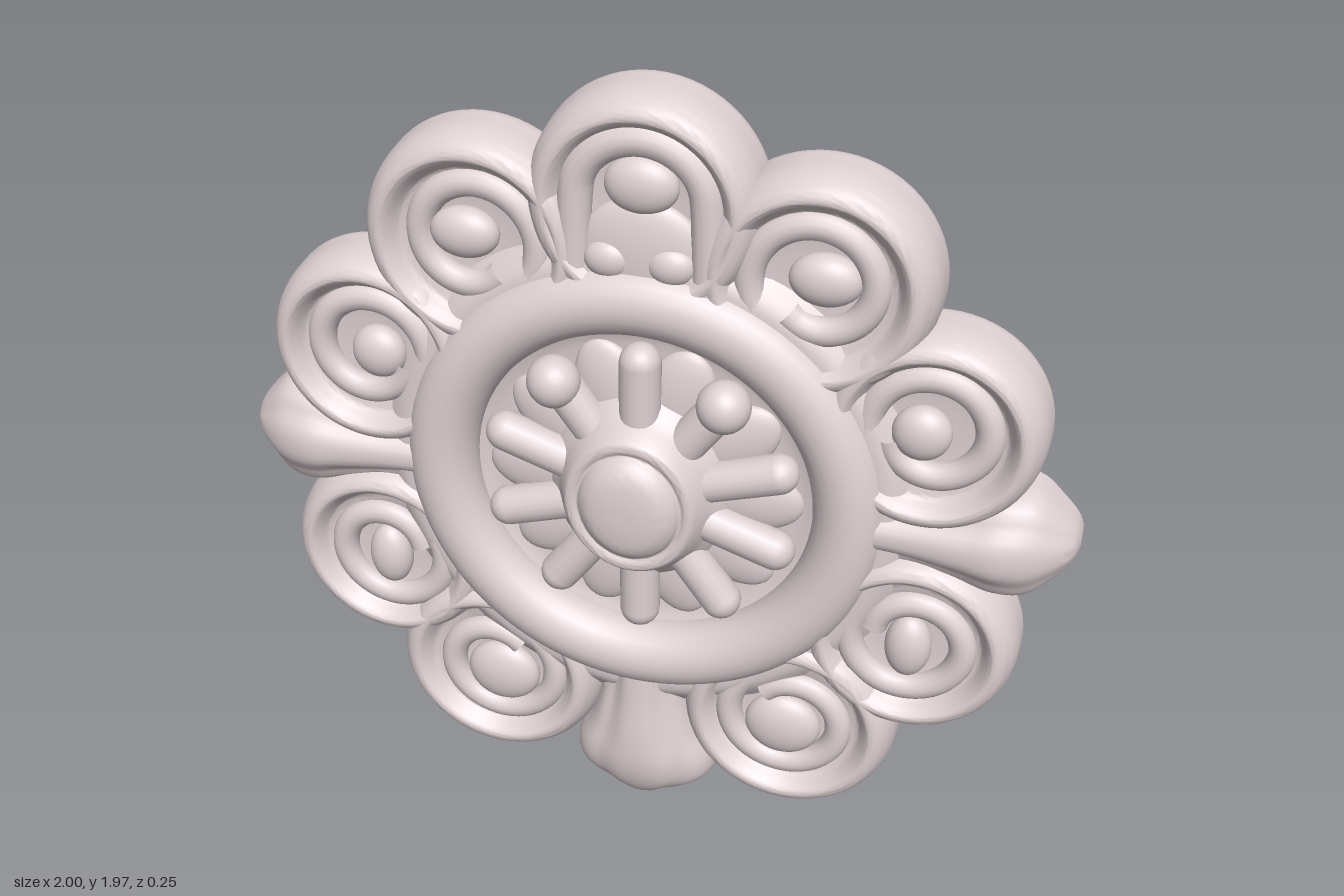
import * as THREE from 'three';
import { toCreasedNormals } from 'three/addons/utils/BufferGeometryUtils.js';

const BACK = -0.13;
const V2 = (p) => new THREE.Vector2(p[0], p[1]);

export function createModel() {
  const model = new THREE.Group();
  model.name = 'rosette';
  const mat = new THREE.MeshStandardMaterial({ color: 0xdfd1d3 });

  const add = (parent, name, geo, x = 0, y = 0, z = 0) => {
    const m = new THREE.Mesh(geo, mat);
    m.name = name;
    m.position.set(x, y, z);
    parent.add(m);
    return m;
  };
  const group = (name, x, y) => {
    const g = new THREE.Group();
    g.name = name;
    g.position.set(x, y, 0);
    model.add(g);
    return g;
  };
  // Turned relief facing +z, from (radius, z) points, smoothed by a curve
  const turned = (pts, seg = 64) => {
    const curve = new THREE.CatmullRomCurve3(pts.map((p) => new THREE.Vector3(p[0], p[1], 0)), false, 'centripetal');
    const fine = curve.getPoints(pts.length * 4).map((p) => V2([Math.max(p.x, 0), Math.max(p.y, BACK)]));
    return toCreasedNormals(new THREE.LatheGeometry([V2([0, BACK]), ...fine], seg).rotateX(Math.PI / 2), 0.9);
  };
  const ball = (sx, sy, sz) => new THREE.SphereGeometry(1, 28, 18).scale(sx, sy, sz);
  const tube = (pts, r) => {
    const c = new THREE.CatmullRomCurve3(pts.map((p) => new THREE.Vector3(p[0], p[1], 0)));
    return new THREE.TubeGeometry(c, 60, r, 14);
  };

  // Backing plate, swelling under the wheel ring
  add(model, 'backPlate', turned([[0.66, BACK], [0.67, -0.1], [0.66, -0.05], [0.63, -0.02], [0.58, 0.012],
    [0.48, 0.0], [0.4, -0.035], [0.36, -0.045], [0, -0.045]], 96), 0, 1);

  // Scalloped lobes: soft raised rim around a hollow
  const lobe = (R) => turned([
    [0.97 * R, BACK], [R, -0.115], [R, -0.08], [0.985 * R, -0.035], [0.94 * R, 0.0], [0.87 * R, 0.024],
    [0.79 * R, 0.03], [0.72 * R, 0.012], [0.66 * R, -0.01], [0.58 * R, -0.016], [0.4 * R, -0.028], [0, -0.032]]);

  // A curl winding inwards from the wheel side of a lobe
  const curl = (R, start, dir) => {
    const pts = [];
    for (let i = 0; i <= 24; i++) {
      const t = i / 24, a = start + dir * t * 6.4, r = R * (0.56 - 0.2 * t * t);
      pts.push([r * Math.cos(a), r * Math.sin(a)]);
    }
    return tube(pts, 0.033);
  };

  // Position, radius, knob [x, y, half width, half height], winding
  const lobes = [
    { name: 'upperLobe', x: 0.38, y: 1.58, R: 0.262, knob: [0.02, 0.02, 0.08, 0.06], dir: -1 },
    { name: 'upperSideLobe', x: 0.65, y: 1.265, R: 0.25, knob: [-0.02, 0.0, 0.066, 0.066], dir: -1 },
    { name: 'lowerSideLobe', x: 0.65, y: 0.69, R: 0.253, knob: [0.0, -0.01, 0.055, 0.085], dir: 1 },
    { name: 'lowerLobe', x: 0.375, y: 0.385, R: 0.268, knob: [-0.01, -0.02, 0.095, 0.088], dir: 1 },
  ];
  for (const s of [1, -1]) {
    const side = s > 0 ? 'left' : 'right';
    for (const L of lobes) {
      const g = group(`${side} ${L.name}`, s * L.x, L.y);
      add(g, 'lobeRim', lobe(L.R));
      const inward = Math.atan2(1 - L.y, -s * L.x);
      add(g, 'lobeCurl', curl(L.R, inward, s * L.dir), 0, 0, -0.02);
      const [kx, ky, rx, ry] = L.knob;
      add(g, 'lobeKnob', ball(rx, ry, 0.045), s * kx, ky, -0.014);
    }
  }

  // Crown lobe with an arch and small beads
  const crown = group('crownLobe', 0, 1.71);
  add(crown, 'lobeRim', lobe(0.262));
  const arch = [[-0.15, -0.25], [-0.15, -0.12]];
  for (let i = 0; i <= 10; i++) {
    const a = Math.PI * (1 - i / 10);
    arch.push([0.145 * Math.cos(a), 0.02 + 0.135 * Math.sin(a)]);
  }
  arch.push([0.15, -0.12], [0.15, -0.25]);
  add(crown, 'crownArch', tube(arch, 0.038), 0, 0, -0.012);
  add(crown, 'crownKnob', ball(0.082, 0.065, 0.042), 0, 0.05, -0.018);
  add(crown, 'crownPanel', ball(0.15, 0.14, 0.04), 0, -0.12, -0.02);
  for (const s of [1, -1]) add(crown, 'crownBead', ball(0.055, 0.045, 0.035), s * 0.07, -0.12, -0.002);

  // Pointed leaves lofted outwards: [distance, half width, crest height]
  const leaf = (rows) => {
    const along = new THREE.CatmullRomCurve3(rows.map((r) => new THREE.Vector3(...r)));
    const N = 32, M = 24, W = M + 1, pos = [], idx = [];
    for (let i = 0; i <= N; i++) {
      const p = along.getPoint(i / N);
      for (let j = 0; j <= M; j++) {
        const a = Math.PI * j / M, u = Math.cos(a);
        const furrow = 0.022 * Math.exp(-(((Math.abs(u) - 0.55) / 0.16) ** 2)) * (1 - i / N);
        const h = Math.pow(Math.max(Math.sin(a), 0), 0.65);
        pos.push(u * p.y, p.x, BACK + (p.z - BACK) * h - furrow);
      }
    }
    for (let i = 0; i < N; i++) for (let j = 0; j < W; j++) {
      const a = i * W + j, b = i * W + (j + 1) % W;
      idx.push(a, a + W, b, b, a + W, b + W);
    }
    for (let j = 1; j < M; j++) idx.push(N * W, N * W + j + 1, N * W + j);
    const g = new THREE.BufferGeometry();
    g.setAttribute('position', new THREE.Float32BufferAttribute(pos, 3));
    g.setIndex(idx);
    return toCreasedNormals(g, 1);
  };
  const sideLeaf = leaf([[0.5, 0.09, 0.03], [0.62, 0.095, 0.036], [0.74, 0.115, 0.05], [0.82, 0.14, 0.056],
    [0.89, 0.14, 0.038], [0.95, 0.09, 0.0], [0.985, 0.05, -0.04], [0.998, 0.02, -0.08]]);
  const lowLeaf = leaf([[0.5, 0.11, 0.035], [0.62, 0.115, 0.042], [0.74, 0.145, 0.052], [0.83, 0.185, 0.05],
    [0.89, 0.18, 0.035], [0.95, 0.095, 0.0], [0.98, 0.04, -0.04], [0.995, 0.012, -0.08]]);
  for (const s of [1, -1]) add(model, s > 0 ? 'leftLeaf' : 'rightLeaf', sideLeaf, 0, 0.995).rotation.z = -s * Math.PI / 2;
  add(model, 'bottomLeaf', lowLeaf, 0, 1).rotation.z = Math.PI;

  // Wheel ring
  add(model, 'wheelRing', new THREE.TorusGeometry(0.488, 0.084, 24, 96), 0, 1.005, -0.022);

  // Ten rounded spokes on a domed hub, two of them ending in beads
  const wheel = group('wheelSpokes', 0, 1);
  for (let i = 0; i < 10; i++) {
    const a = Math.PI / 2 + i * Math.PI / 5;
    const spoke = new THREE.CapsuleGeometry(0.048, 0.25, 8, 18);
    add(wheel, 'spoke', spoke, 0.215 * Math.cos(a), 0.215 * Math.sin(a), -0.005).rotation.z = a - Math.PI / 2;
    if (i === 1 || i === 9) add(wheel, 'spokeBead', ball(0.062, 0.062, 0.06), 0.335 * Math.cos(a), 0.335 * Math.sin(a), 0.015);
    // Low web filling the fork between two spokes
    const b = a + Math.PI / 10;
    add(wheel, 'web', ball(0.085, 0.14, 0.035), 0.24 * Math.cos(b), 0.24 * Math.sin(b), -0.045).rotation.z = b - Math.PI / 2;
  }
  const hub = turned([[0.24, -0.05], [0.22, -0.01], [0.19, 0.025], [0.17, 0.06], [0.155, 0.08], [0.14, 0.082],
    [0.128, 0.076], [0.118, 0.09], [0.09, 0.111], [0.045, 0.12], [0, 0.122]]);
  add(wheel, 'hubBoss', hub.scale(0.96, 1.1, 1), -0.005, 0, 0);

  return model;
}
